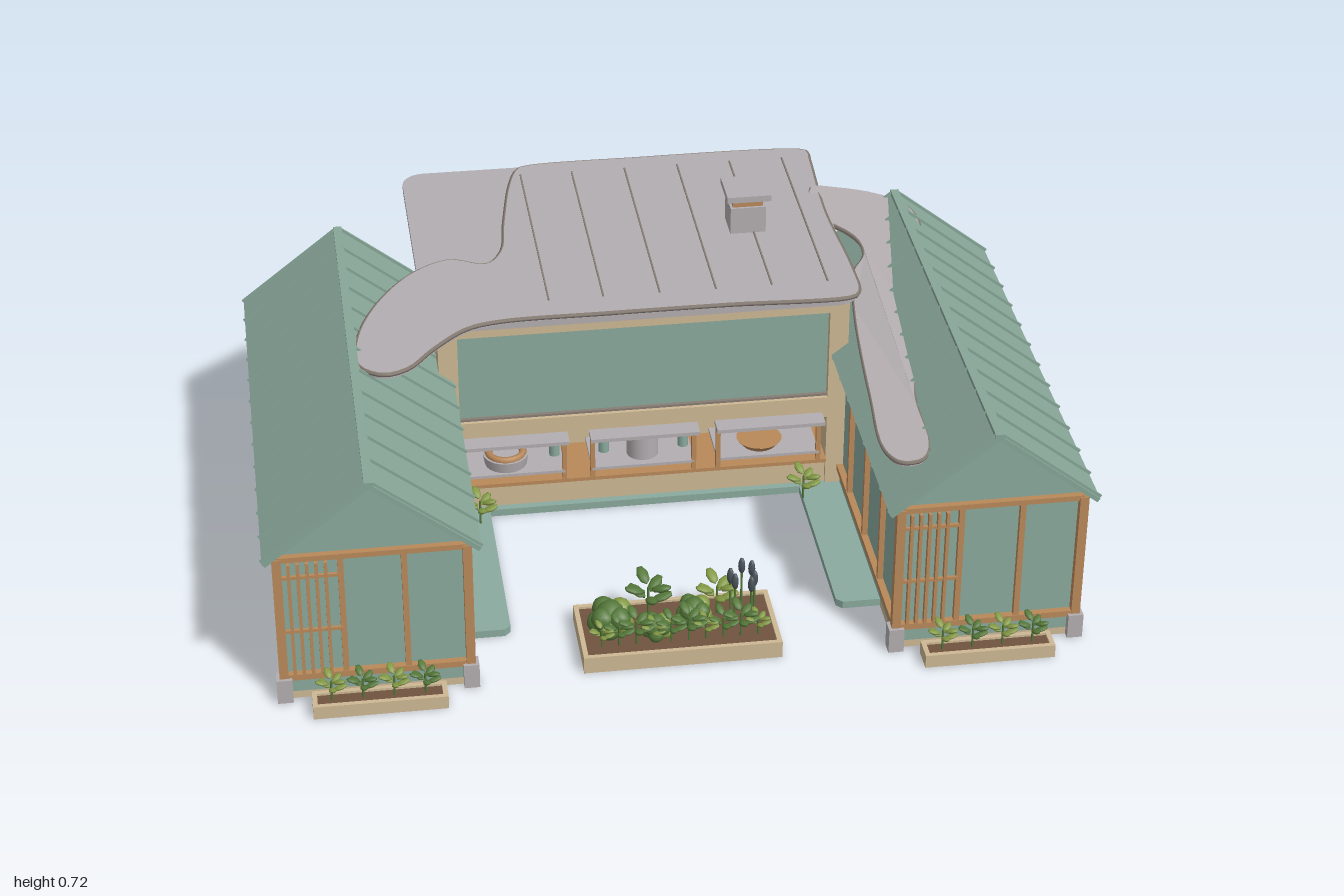
import * as THREE from 'three';

const mat = (name, color) => Object.assign(new THREE.MeshStandardMaterial({ color }), { name });
const M = {
  plaster: mat('plaster', 0xcdb894), metal: mat('roof grey', 0xb3adb0), teal: mat('teal roofing', 0x88a698),
  glass: mat('teal glazing', 0x8aaa9e), wood: mat('timber', 0xb9895a), trim: mat('taupe trim', 0x877d74),
  soil: mat('soil brown', 0x70543f), leaf: mat('leaf green', 0x55793a), lime: mat('light green', 0x849a45),
  dark: mat('slate', 0x4c555c),
};

function add(parent, name, geo, material, x = 0, y = 0, z = 0) {
  const m = new THREE.Mesh(geo, material);
  m.name = name;
  m.position.set(x, y, z);
  parent.add(m);
  return m;
}
// box from its min and max corners
const box = (p, name, m, x0, x1, y0, y1, z0, z1) => add(p, name,
  new THREE.BoxGeometry(x1 - x0, y1 - y0, z1 - z0), m, (x0 + x1) / 2, (y0 + y1) / 2, (z0 + z1) / 2);
const group = (p, name, x = 0, y = 0, z = 0) => {
  const g = new THREE.Group();
  g.name = name;
  g.position.set(x, y, z);
  p.add(g);
  return g;
};
// horizontal slab from a plan outline of [x, z]
function slabGeo(plan, y, h) {
  const shape = new THREE.Shape(plan.map(([x, z]) => new THREE.Vector2(x, -z)));
  return new THREE.ExtrudeGeometry(shape, { depth: h, bevelEnabled: false }).rotateX(-Math.PI / 2).translate(0, y, 0);
}
const smooth = (pts, n) => new THREE.CatmullRomCurve3(pts.map(([x, z]) => new THREE.Vector3(x, 0, z)), true, 'centripetal')
  .getPoints(n).slice(0, -1).map(v => [v.x, v.z]);
function roundRect(x0, x1, z0, z1, r) {
  const out = [];
  [[x1 - r, z1 - r], [x0 + r, z1 - r], [x0 + r, z0 + r], [x1 - r, z0 + r]].forEach(([cx, cz], k) => {
    for (let i = 0; i <= 6; i++) {
      const a = (k + i / 6) * Math.PI / 2;
      out.push([cx + r * Math.cos(a), cz + r * Math.sin(a)]);
    }
  });
  return out;
}
function edgeTube(p, name, plan, yAt, r) {
  const c = new THREE.CatmullRomCurve3(plan.map(([x, z]) => new THREE.Vector3(x, yAt(z), z)), true);
  add(p, name, new THREE.TubeGeometry(c, 180, r, 5, true), M.trim);
}

// Glazed gabled wing
function wing(root, name, cx) {
  const g = group(root, name, cx);
  const w = 0.225, zf = 0.74, zb = -0.44;
  box(g, 'floor', M.plaster, -w, w, 0, 0.02, zb, zf);
  box(g, 'skirting', M.glass, -w, w, 0.02, 0.062, zb, zf);
  const s = new THREE.Shape([[-w + 0.008, 0.06], [w - 0.008, 0.06], [w - 0.008, 0.42], [0, 0.597], [-w + 0.008, 0.42]]
    .map(p => new THREE.Vector2(...p)));
  add(g, 'glazing', new THREE.ExtrudeGeometry(s, { depth: zf - zb - 0.016, bevelEnabled: false }), M.glass, 0, 0, zb + 0.008);
  for (const sx of [-1, 1]) {
    const x = sx * w;
    for (let i = 0; i < 7; i++) {
      const z = zb + i * (zf - zb) / 6, t = i % 6 ? 0.007 : 0.011;
      box(g, 'sidePost', M.wood, x - t, x + t, 0.06, 0.41, z - t, z + t);
    }
    box(g, 'sill', M.wood, x - 0.009, x + 0.009, 0.058, 0.074, zb, zf);
    box(g, 'eavesBeam', M.wood, x - 0.008, x + 0.008, 0.398, 0.414, zb, zf);
    for (const z of [zb, zf]) box(g, 'footing', M.metal, x - 0.019, x + 0.019, 0, 0.066, z - 0.019, z + 0.019);
    // roof slope with standing seams
    const slope = group(g, 'roofSlope', sx * 0.1275, 0.508, 0.1475);
    slope.rotation.z = -sx * Math.atan2(0.2, 0.255);
    box(slope, 'roofPanel', M.teal, -0.162, 0.162, -0.006, 0.006, -0.6175, 0.6175);
    for (let i = 0; i < 13; i++) {
      const z = -0.61 + i * 1.22 / 12;
      box(slope, 'roofSeam', M.teal, -0.162, 0.162, 0.005, 0.013, z - 0.003, z + 0.003);
    }
  }
  for (const z of [zb, zf]) {
    for (const x of [-0.075, 0.075]) box(g, 'endPost', M.wood, x - 0.007, x + 0.007, 0.06, 0.41, z - 0.007, z + 0.007);
    box(g, 'endSill', M.wood, -w, w, 0.058, 0.074, z - 0.009, z + 0.009);
    box(g, 'endBeam', M.wood, -w, w, 0.4, 0.414, z - 0.008, z + 0.008);
  }
  // slatted screen on the front
  for (let i = 0; i < 5; i++) {
    const x = -0.198 + i * 0.022;
    box(g, 'screenSlat', M.wood, x - 0.004, x + 0.004, 0.074, 0.395, zf - 0.002, zf + 0.012);
  }
  for (const y of [0.2, 0.355]) box(g, 'screenRail', M.wood, -w, -0.075, y - 0.004, y + 0.004, zf, zf + 0.008);
  box(g, 'ridgeCap', M.teal, -0.011, 0.011, 0.598, 0.618, -0.47, 0.765);
}

// Plants
function sprout(p, x, y, z, h, m) {
  const g = group(p, 'sprout', x, y, z);
  add(g, 'stem', new THREE.CylinderGeometry(0.003, 0.003, h * 0.8, 5), M.leaf, 0, h * 0.4, 0);
  for (let i = 0; i < 7; i++) {
    const a = i * 2.4, r = h * 0.32;
    const leaf = add(g, 'leaf', new THREE.SphereGeometry(h * 0.26, 7, 5).scale(1, 0.3, 0.55), m,
      Math.cos(a) * r, h * (0.5 + 0.07 * i), -Math.sin(a) * r);
    leaf.rotation.set(0, a, 0.35);
  }
}
function bush(p, name, x, y, z, r) {
  const g = group(p, name, x, y, z);
  for (let i = 0; i < 9; i++) {
    const a = i * 2.4, d = i === 0 ? 0 : r * 0.52, s = r * (i === 0 ? 0.7 : 0.5);
    add(g, 'foliage', new THREE.SphereGeometry(s, 10, 7), i % 3 === 2 ? M.lime : M.leaf,
      Math.cos(a) * d, i === 0 ? r * 0.85 : r * (0.5 + 0.45 * (i % 2)), Math.sin(a) * d);
  }
}
function planter(p, name, x0, x1, z0, z1, h) {
  const t = 0.012;
  box(p, name + 'Soil', M.soil, x0 + t, x1 - t, 0, h - 0.006, z0 + t, z1 - t);
  for (const [a, b, c, d] of [[x0, x1, z0, z0 + t], [x0, x1, z1 - t, z1], [x0, x0 + t, z0, z1], [x1 - t, x1, z0, z1]])
    box(p, name + 'Board', M.plaster, a, b, 0, h, c, d);
}

export function createModel() {
  const root = new THREE.Group();
  root.name = 'pavilion';
  wing(root, 'leftHandWing', -0.75);
  wing(root, 'rightHandWing', 0.745);

  // U-shaped plinth
  add(root, 'plinth', slabGeo([[-0.54, -0.745], [0.54, -0.745], [0.54, 0.56], [0.425, 0.56], [0.41, 0.545], [0.41, 0.03],
    [-0.41, 0.03], [-0.41, 0.545], [-0.425, 0.56], [-0.54, 0.56]], 0, 0.02), M.glass);

  // Main hall with a recessed kitchen counter
  const hall = group(root, 'hall');
  box(hall, 'backHall', M.plaster, -0.53, 0.53, 0.02, 0.578, -0.74, -0.14);
  box(hall, 'counterBase', M.plaster, -0.52, 0.52, 0.02, 0.09, -0.14, 0.01);
  box(hall, 'counterTop', M.wood, -0.48, 0.48, 0.09, 0.1, -0.14, 0.03);
  box(hall, 'lintel', M.plaster, -0.52, 0.52, 0.225, 0.285, -0.14, 0.02);
  box(hall, 'headBeam', M.plaster, -0.52, 0.52, 0.54, 0.578, -0.14, 0.02);
  for (const s of [-1, 1]) box(hall, 'pier', M.plaster, s * 0.505 - 0.025, s * 0.505 + 0.025, 0.02, 0.578, -0.14, 0.02);
  box(hall, 'window', M.glass, -0.48, 0.48, 0.285, 0.54, -0.1, 0.0);
  for (const y of [0.288, 0.537]) box(hall, 'windowTrim', M.trim, -0.48, 0.48, y - 0.003, y + 0.003, 0, 0.01);
  for (const x of [-0.345, -0.005, 0.325]) {
    const bay = group(hall, 'servingBay', x);
    box(bay, 'awning', M.metal, -0.142, 0.142, 0.23, 0.24, -0.02, 0.07);
    box(bay, 'shelf', M.metal, -0.135, 0.135, 0.12, 0.128, -0.12, 0.03);
    for (const s of [-1, 1]) box(bay, 'bayPost', M.wood, s * 0.133 - 0.006, s * 0.133 + 0.006, 0.09, 0.23, 0.018, 0.03);
    box(bay, 'bayRail', M.wood, -0.133, 0.133, 0.212, 0.222, 0.018, 0.028);
  }
  add(hall, 'pan', new THREE.CylinderGeometry(0.06, 0.055, 0.03, 20), M.metal, -0.36, 0.143, -0.03);
  add(hall, 'panRim', new THREE.TorusGeometry(0.045, 0.01, 6, 20).rotateX(Math.PI / 2), M.wood, -0.36, 0.16, -0.03);
  add(hall, 'stockPot', new THREE.CylinderGeometry(0.042, 0.042, 0.065, 20), M.metal, 0, 0.16, -0.03);
  add(hall, 'tray', new THREE.CylinderGeometry(0.06, 0.045, 0.018, 20), M.wood, 0.31, 0.138, -0.03);
  for (const x of [-0.23, -0.1, 0.11]) add(hall, 'jar', new THREE.CylinderGeometry(0.014, 0.014, 0.045, 10), M.glass, x, 0.15, -0.05);

  // Back door and step
  box(hall, 'backDoor', M.glass, 0.305, 0.425, 0.025, 0.285, -0.749, -0.74);
  for (const [a, b, c, d] of [[0.299, 0.305, 0.02, 0.291], [0.425, 0.431, 0.02, 0.291], [0.299, 0.431, 0.285, 0.291]])
    box(hall, 'doorFrame', M.trim, a, b, c, d, -0.75, -0.74);
  box(hall, 'doorHandle', M.dark, 0.318, 0.326, 0.14, 0.165, -0.756, -0.748);
  box(hall, 'backStep', M.plaster, 0.285, 0.45, 0, 0.022, -0.84, -0.74);

  // Roof: base slab, flowing sheet on top and a sinking ribbon over one wing
  const roof = group(root, 'flowingRoof');
  add(roof, 'roofSlab', slabGeo(roundRect(-0.56, 0.555, -0.78, 0.045, 0.06), 0.576, 0.018), M.metal);
  const sheet = smooth([[-0.25, -0.74], [-0.235, -0.76], [0.1, -0.772], [0.5, -0.765], [0.555, -0.75], [0.555, -0.7], [0.542, -0.4],
    [0.555, -0.1], [0.55, 0.03], [0.53, 0.05], [0.2, 0.045], [-0.1, 0.045], [-0.38, 0.05], [-0.46, 0.075], [-0.55, 0.16], [-0.62, 0.245],
    [-0.68, 0.265], [-0.735, 0.22], [-0.73, 0.08], [-0.66, -0.1], [-0.56, -0.23], [-0.47, -0.275], [-0.38, -0.24],
    [-0.335, -0.3], [-0.31, -0.46], [-0.275, -0.66]], 160);
  add(roof, 'roofSheet', slabGeo(sheet, 0.59, 0.016), M.metal);
  edgeTube(roof, 'sheetEdge', sheet, () => 0.601, 0.006);
  for (const x of [-0.24, -0.1, 0.045, 0.19, 0.335, 0.48]) box(roof, 'roofRib', M.trim, x - 0.002, x + 0.002, 0.604, 0.61, -0.71, -0.03);
  const ribbonY = z => z < 0 ? 0.535 - z * 0.13 : 0.535 - z * 0.045;
  const ribbon = smooth([[0.53, -0.53], [0.6, -0.52], [0.7, -0.48], [0.77, -0.42], [0.78, -0.31], [0.745, -0.3], [0.7, -0.2], [0.665, 0],
    [0.645, 0.28], [0.615, 0.42], [0.608, 0.62], [0.58, 0.675], [0.53, 0.68], [0.5, 0.63], [0.51, 0.4], [0.535, 0.1],
    [0.555, -0.05], [0.575, -0.15], [0.615, -0.22], [0.61, -0.29], [0.56, -0.36], [0.53, -0.38]], 110);
  const rg = slabGeo(ribbon, 0, 0.016), pos = rg.attributes.position;
  for (let i = 0; i < pos.count; i++) pos.setY(i, pos.getY(i) + ribbonY(pos.getZ(i)) - 0.01);
  rg.computeVertexNormals();
  add(roof, 'roofRibbon', rg, M.metal);
  edgeTube(roof, 'ribbonEdge', ribbon, ribbonY, 0.006);

  // Chimney
  box(roof, 'chimneyStack', M.metal, 0.273, 0.367, 0.6, 0.68, -0.4, -0.31);
  box(roof, 'chimneyVent', M.wood, 0.28, 0.36, 0.68, 0.705, -0.393, -0.317);
  box(roof, 'chimneyCap', M.metal, 0.262, 0.378, 0.703, 0.72, -0.413, -0.297);

  // Planters and planting
  const garden = group(root, 'garden');
  planter(garden, 'raisedBed', -0.25, 0.24, 0.515, 0.74, 0.045);
  for (let i = 0; i < 10; i++) sprout(garden, -0.2 + i * 0.043, 0.04, 0.69, 0.06 + 0.012 * (i % 3), i % 3 ? M.leaf : M.lime);
  bush(garden, 'cabbage', -0.17, 0.035, 0.625, 0.058);
  bush(garden, 'smallCabbage', -0.06, 0.035, 0.66, 0.04);
  bush(garden, 'herbBush', 0.04, 0.035, 0.61, 0.045);
  sprout(garden, -0.07, 0.04, 0.58, 0.11, M.leaf);
  sprout(garden, 0.1, 0.04, 0.59, 0.1, M.lime);
  for (let i = 0; i < 6; i++) {
    const x = 0.16 + 0.03 * Math.cos(i * 2.4), z = 0.61 + 0.03 * Math.sin(i * 2.4), h = 0.1 + 0.01 * (i % 3);
    add(garden, 'spikeStem', new THREE.CylinderGeometry(0.003, 0.003, h, 5), M.leaf, x, 0.04 + h / 2, z);
    add(garden, 'flowerSpike', new THREE.SphereGeometry(0.009, 7, 6).scale(1, 2.6, 1), M.dark, x, 0.05 + h, z);
  }
  for (const cx of [-0.75, 0.74]) {
    planter(garden, 'windowPlanter', cx - 0.162, cx + 0.162, 0.767, 0.832, 0.035);
    for (let i = 0; i < 4; i++) sprout(garden, cx - 0.115 + i * 0.075, 0.03, 0.8, 0.07, i % 2 ? M.leaf : M.lime);
  }
  sprout(garden, -0.44, 0.02, 0.085, 0.085, M.lime);
  sprout(garden, 0.41, 0.02, 0.085, 0.085, M.lime);
  bush(garden, 'leftHandBush', -0.93, 0, -0.54, 0.072);
  bush(garden, 'rightHandBush', 0.925, 0, -0.505, 0.072);
  return root;
}
